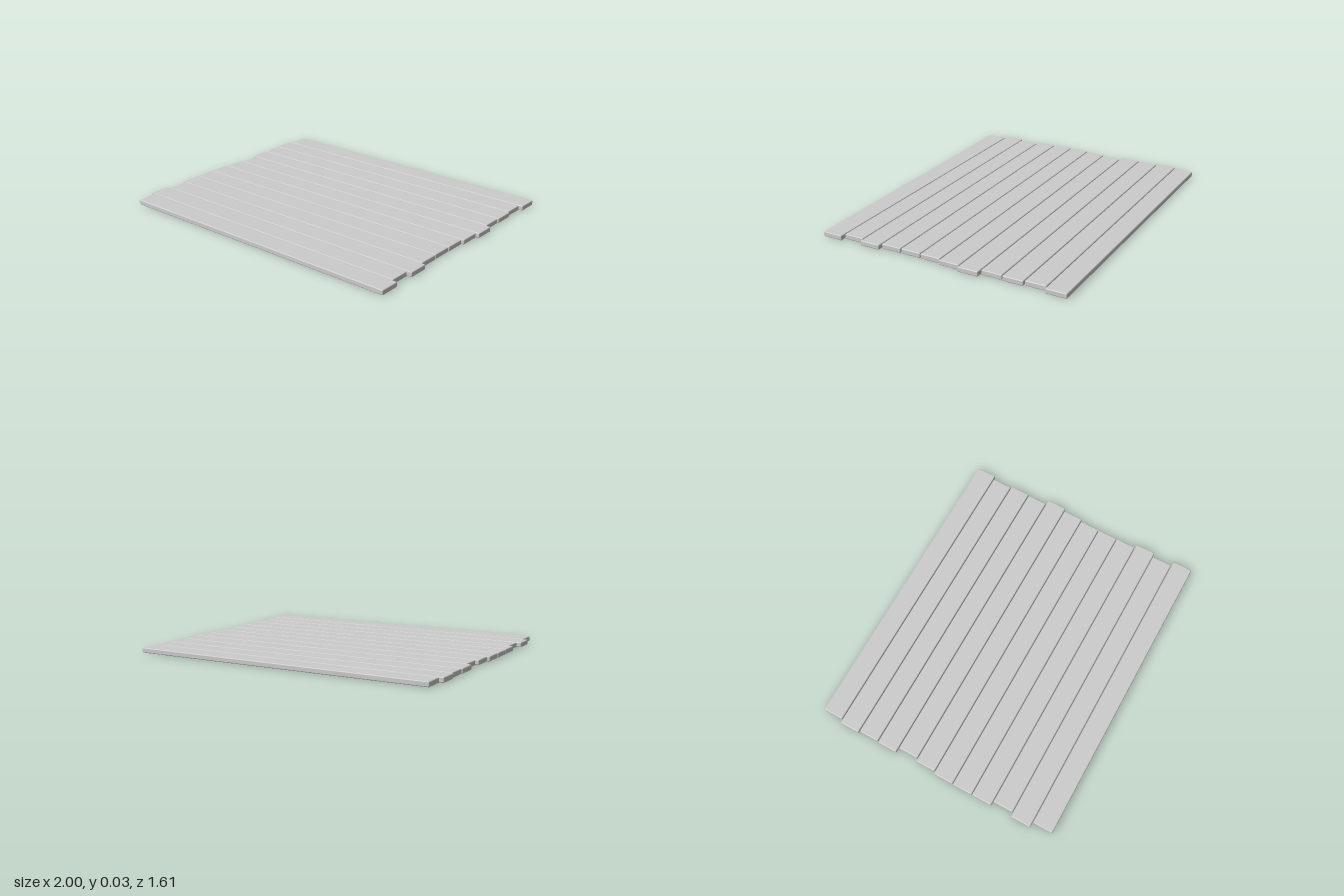
import * as THREE from 'three';
import { RoundedBoxGeometry } from 'three/addons/geometries/RoundedBoxGeometry.js';

export function createModel() {
  const deck = new THREE.Group();
  deck.name = 'plankFloor';
  const material = new THREE.MeshStandardMaterial({ color: 0xcccccc });

  const length = 1.963, height = 0.032, width = 0.13, pitch = 0.1347;
  // Sideways shift of each plank, from back to front
  const shifts = [0.006, -0.0185, -0.008, -0.013, 0.0185, -0.001,
    -0.016, -0.0175, -0.016, 0.0095, -0.0185, 0.0145];

  // Planks with softened edges, laid side by side with narrow gaps
  const geometry = new RoundedBoxGeometry(length, height, width, 2, 0.006);
  shifts.forEach((x, i) => {
    const plank = new THREE.Mesh(geometry, material);
    plank.name = `plank${i + 1}`;
    plank.position.set(x, height / 2, (i - (shifts.length - 1) / 2) * pitch);
    deck.add(plank);
  });
  return deck;
}
